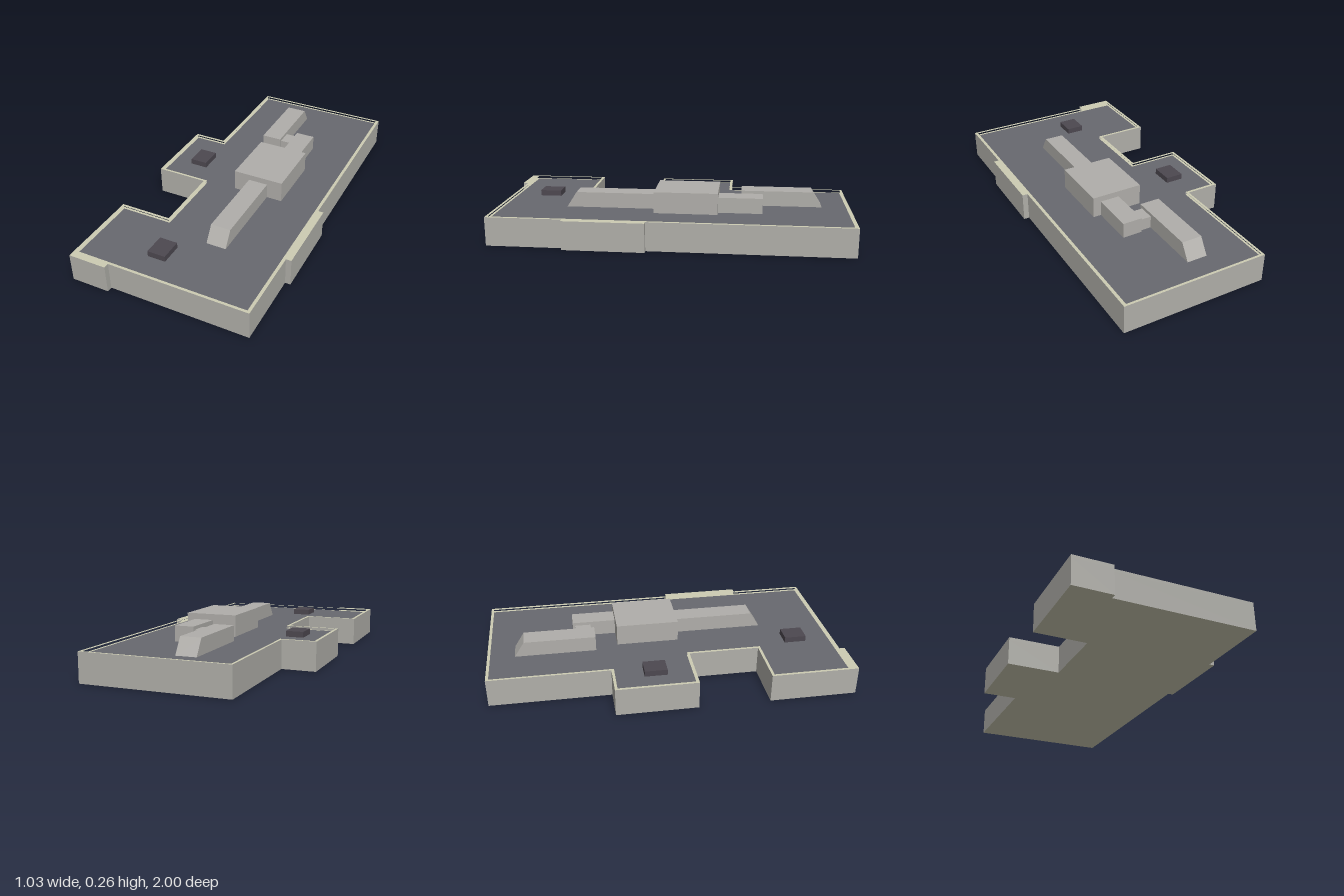
import * as THREE from 'three';

const mat = (name, color) => {
  const m = new THREE.MeshStandardMaterial({ color });
  m.name = name;
  return m;
};

// Shape from plan points [x, z]; after laying flat, z is kept
const plan = (pts) => new THREE.Shape(pts.map(([x, z]) => new THREE.Vector2(x, -z)));

export function createModel() {
  const wall = mat('wall grey', 0xb0afa9);
  const rim = mat('rim cream', 0xcdccb3);
  const roofing = mat('roof slate', 0x68696f);
  const metal = mat('duct grey', 0xb0aeaa);
  const dark = mat('hatch charcoal', 0x4d4850);

  const group = new THREE.Group();
  group.name = 'building';
  const add = (name, geometry, material) => {
    const mesh = new THREE.Mesh(geometry, material);
    mesh.name = name;
    group.add(mesh);
    return mesh;
  };

  const H = 0.16, ROOF = 0.143;
  const outline = [
    [-0.325, -1], [0.485, -1], [0.485, 0.1], [0.515, 0.1], [0.515, 0.547], [0.485, 0.547],
    [0.485, 0.97], [-0.3, 0.97], [-0.3, 1], [-0.515, 1], [-0.515, 0.515], [-0.222, 0.515],
    [-0.222, 0.12], [-0.515, 0.12], [-0.515, -0.33], [-0.325, -0.33],
  ];
  const inner = [
    [-0.312, -0.987], [0.468, -0.987], [0.468, 0.955], [-0.5, 0.955], [-0.5, 0.53],
    [-0.207, 0.53], [-0.207, 0.107], [-0.5, 0.107], [-0.5, -0.315], [-0.312, -0.315],
  ];

  // Extrude a plan upward between two heights
  const slab = (shape, y0, y1) =>
    new THREE.ExtrudeGeometry(shape, { depth: y1 - y0, bevelEnabled: false })
      .rotateX(-Math.PI / 2).translate(0, y0, 0);

  // Walls, raised parapet and sunken flat roof
  add('walls', slab(plan(outline), 0, ROOF), [rim, wall]);
  const ring = plan(outline);
  ring.holes.push(plan(inner));
  add('parapet', slab(ring, ROOF, H), [rim, wall]);
  add('roof', new THREE.ShapeGeometry(plan(inner)).rotateX(-Math.PI / 2).translate(0, ROOF + 0.001, 0), roofing);

  // Box resting on the roof; slopes pull the top edge in at the front or back
  const block = (name, x0, x1, z0, z1, top, material, backSlope = 0, frontSlope = 0) => {
    const h = top - ROOF;
    const run = (s) => s * h / (top - H);
    const g = new THREE.BoxGeometry(x1 - x0, h, z1 - z0);
    const p = g.attributes.position;
    for (let i = 0; i < p.count; i++) {
      const s = p.getZ(i) < 0 ? run(backSlope) : -run(frontSlope);
      // the slope meets its stated length at parapet height
      if (p.getY(i) > 0) p.setZ(i, p.getZ(i) + s);
    }
    g.computeVertexNormals();
    g.translate((x0 + x1) / 2, ROOF + h / 2, (z0 + z1) / 2);
    add(name, g, material);
  };

  // Rooftop ventilation
  block('plantUnit', -0.035, 0.255, -0.268, 0.085, 0.263, metal);
  block('frontDuct', 0.055, 0.167, 0.08, 0.595, 0.23, metal, 0, 0.045);
  block('backDuct', -0.078, 0.036, -0.85, -0.393, 0.23, metal, 0.045, 0);
  block('innerDuct', 0.1, 0.21, -0.513, -0.263, 0.23, metal);
  block('ductLink', 0.03, 0.105, -0.5, -0.41, 0.212, metal);

  // Roof hatches
  block('sideHatch', -0.39, -0.29, -0.157, -0.032, 0.176, dark);
  block('frontHatch', -0.165, -0.063, 0.692, 0.815, 0.176, dark);

  return group;
}
